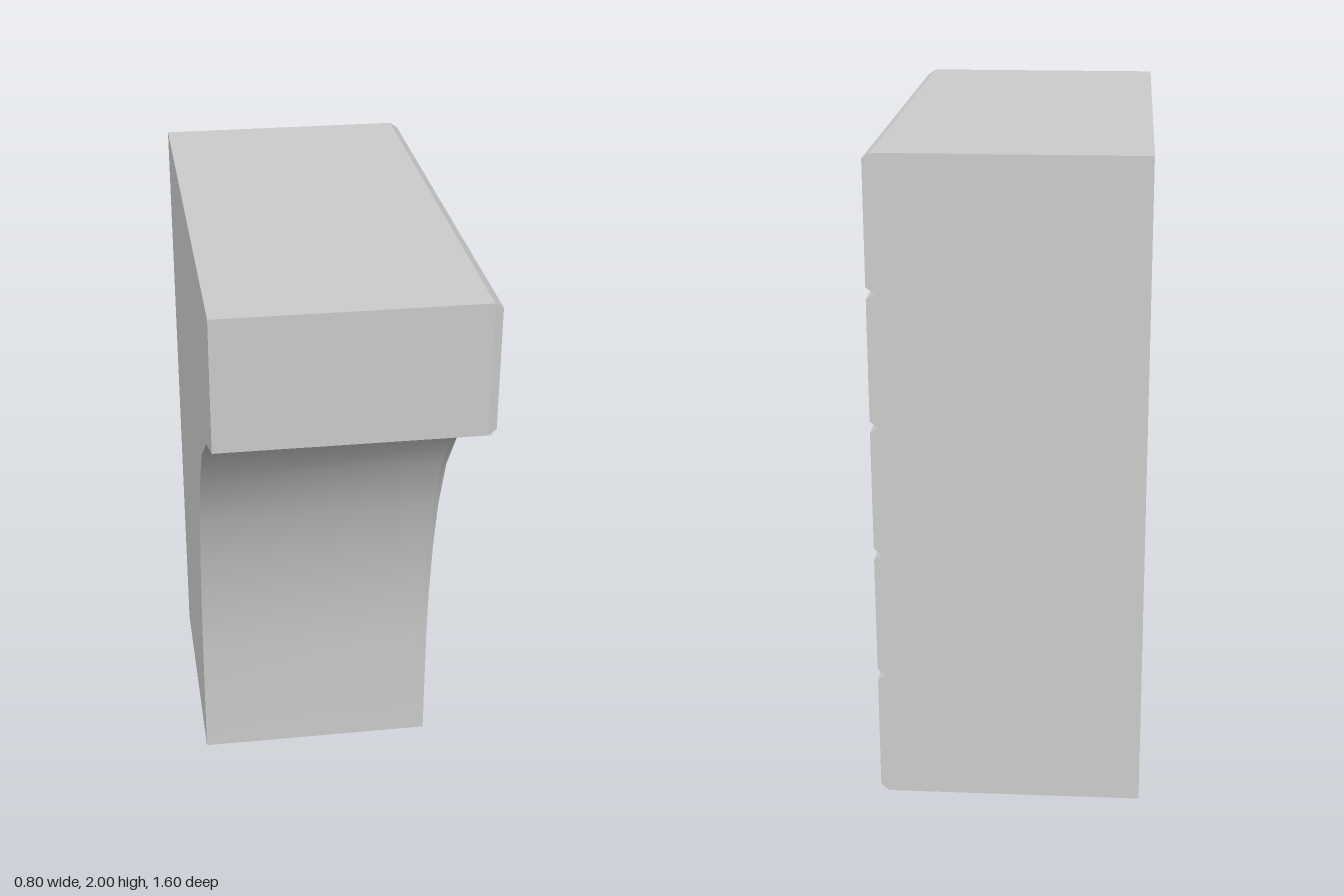
import * as THREE from 'three';
import { toCreasedNormals } from 'three/addons/utils/BufferGeometryUtils.js';

const material = new THREE.MeshStandardMaterial({ color: 0xcccccc });

// Curved underside of the bracket as [z, y], from foot to ledge
const arch = [[0.04, 0], [0.04, 0.4], [0.055, 0.6], [0.09, 0.8], [0.145, 1],
  [0.235, 1.2], [0.36, 1.36], [0.59, 1.52], [0.8, 1.6]];

const CORE_X = 0.375, WEB_X = 0.39, FACE_X = 0.4;

// Extrude a side outline (z, y) across x0..x1
function sideExtrude(name, points, x0, x1) {
  const shape = new THREE.Shape(points.map(([z, y]) => new THREE.Vector2(z, y)));
  const geo = new THREE.ExtrudeGeometry(shape, { depth: x1 - x0, bevelEnabled: false });
  geo.rotateY(-Math.PI / 2).translate(x1, 0, 0);
  const mesh = new THREE.Mesh(toCreasedNormals(geo, 0.6), material);
  mesh.name = name;
  return mesh;
}

// Raised stone on the +x side, its outer face inset to form chamfers
function stone(name, z0, z1, y0, y1, inset) {
  const geo = new THREE.BoxGeometry(FACE_X - CORE_X, y1 - y0, z1 - z0);
  geo.translate((FACE_X + CORE_X) / 2, (y0 + y1) / 2, (z0 + z1) / 2);
  const p = geo.attributes.position;
  const midY = (y0 + y1) / 2, midZ = (z0 + z1) / 2;
  for (let i = 0; i < p.count; i++) {
    if (p.getX(i) < (FACE_X + CORE_X) / 2) continue;
    p.setY(i, p.getY(i) > midY ? y1 - inset.top : y0 + inset.bottom);
    p.setZ(i, p.getZ(i) > midZ ? z1 - inset.front : z0 + inset.back);
  }
  geo.computeVertexNormals();
  const mesh = new THREE.Mesh(geo, material);
  mesh.name = name;
  return mesh;
}

export function createModel() {
  const model = new THREE.Group();
  model.name = 'stoneBracket';

  // Solid core: wall block, curved web and projecting ledge
  model.add(sideExtrude('core', [[-0.8, 0], ...arch, [0.8, 2], [-0.8, 2]], -0.4, CORE_X));

  // Smooth side of the curved web
  model.add(sideExtrude('webSide', [[0, 0], ...arch, [0, 1.6]], CORE_X, WEB_X));

  // Side of the ledge
  const edge = { top: 0.016, bottom: 0.016, front: 0.004, back: 0.01 };
  model.add(stone('ledgeSide', 0, 0.8, 1.6, 2, edge));

  // Courses of bricks, alternately whole and split
  const bricks = new THREE.Group();
  bricks.name = 'bricks';
  for (let row = 0; row < 5; row++) {
    const cuts = row % 2 ? [-0.8, -0.408, 0] : [-0.8, 0];
    for (let i = 0; i < cuts.length - 1; i++) {
      bricks.add(stone('brick', cuts[i], cuts[i + 1], row * 0.4, row * 0.4 + 0.4, {
        top: 0.016,
        bottom: 0.02,
        front: cuts[i + 1] === 0 ? 0.01 : 0.02,
        back: i === 0 ? 0.002 : 0.02,
      }));
    }
  }
  model.add(bricks);
  return model;
}
